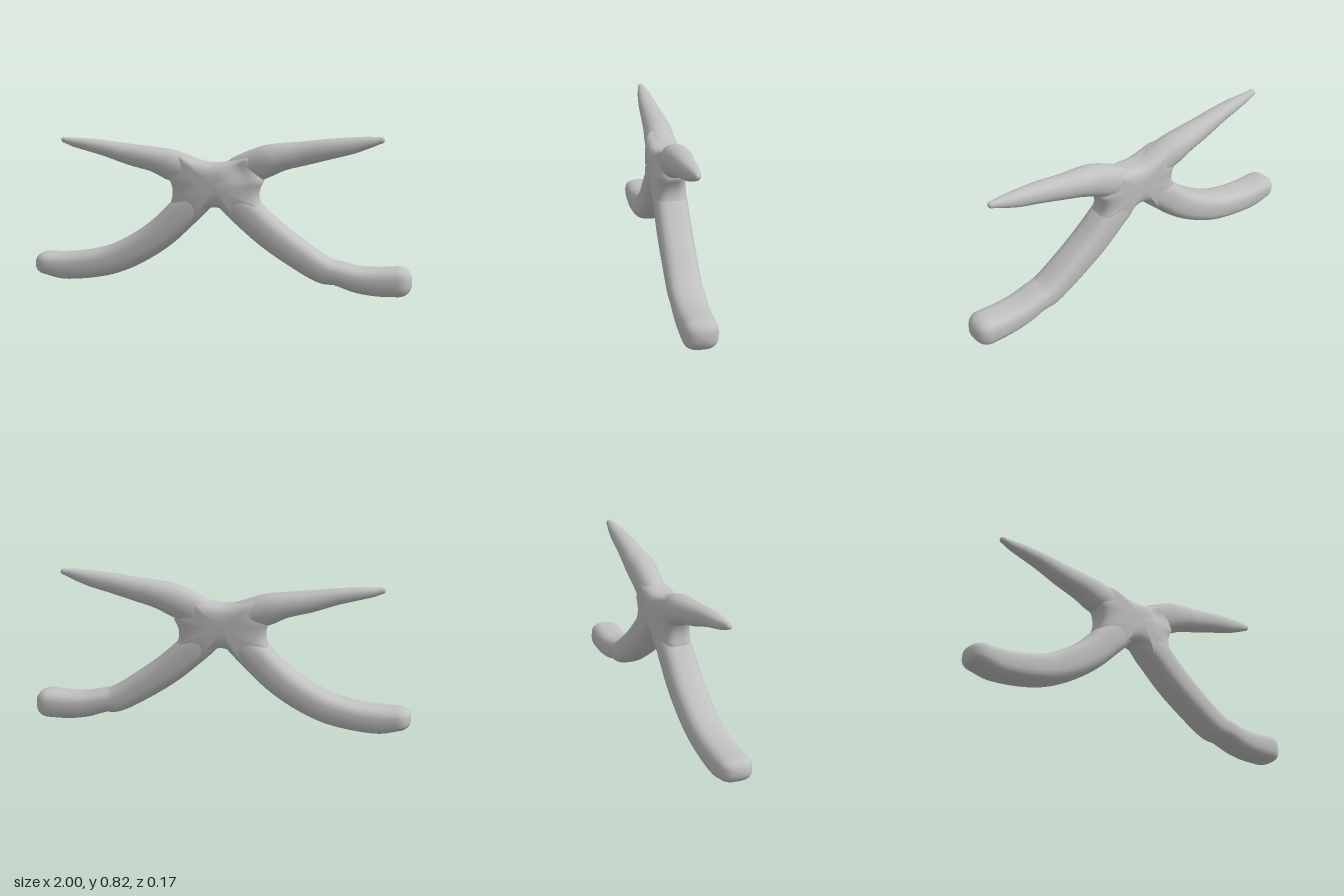
import * as THREE from 'three';

const SIDES = 28;

// Skins a stack of closed rings, each a list of points running anticlockwise around the stacking direction
function skin(rings) {
  const n = rings[0].length, index = [];
  for (let i = 0; i < rings.length - 1; i++) {
    for (let j = 0; j < n; j++) {
      const a = i * n + j, b = i * n + (j + 1) % n;
      index.push(a, b, a + n, b, b + n, a + n);
    }
  }
  const geo = new THREE.BufferGeometry().setFromPoints(rings.flat());
  geo.setIndex(index);
  geo.computeVertexNormals();
  return geo;
}

// Signed power, which squares off a circle into a superellipse
const bend = (v, power) => Math.sign(v) * Math.abs(v) ** (2 / power);

// Sweeps a squarish oval along a path in the xy plane and closes it with a dome.
// Each station: [x, y, half height, half depth, z offset]
function limbGeometry(stations, capLength, power) {
  const path = new THREE.CatmullRomCurve3(stations.map(s => new THREE.Vector3(s[0], s[1], s[4] ?? 0)));
  const size = new THREE.CatmullRomCurve3(stations.map(s => new THREE.Vector3(s[2], s[3], 0)));
  const rings = [];
  const addRing = (p, dir, h, d) => {
    const ring = [];
    for (let j = 0; j < SIDES; j++) {
      const a = (j / SIDES) * Math.PI * 2;
      const u = h * bend(Math.cos(a), power), w = d * bend(Math.sin(a), power);
      ring.push(new THREE.Vector3(p.x - dir.y * u, p.y + dir.x * u, p.z + w));
    }
    rings.push(ring);
  };
  const steps = (stations.length - 1) * 5;
  for (let i = 0; i <= steps; i++) {
    const r = size.getPoint(i / steps);
    addRing(path.getPoint(i / steps), path.getTangent(i / steps).setZ(0).normalize(), r.x, r.y);
  }
  // Rounded tip
  const end = path.getPoint(1), dir = path.getTangent(1).setZ(0).normalize(), r = size.getPoint(1);
  for (let k = 1; k <= 7; k++) {
    const a = (k / 7) * Math.PI / 2;
    const s = Math.max(Math.cos(a), 0) ** 0.8;
    addRing(end.clone().addScaledVector(dir, capLength * Math.sin(a)), dir, r.x * s, r.y * s);
  }
  return skin(rings);
}

// Webbed pillow joining the four limbs, with a hollow on the front beside the left arm
function hubGeometry() {
  const s = new THREE.Shape();
  s.moveTo(-0.04, 0.668);
  s.quadraticCurveTo(-0.1, 0.675, -0.21, 0.712);
  s.lineTo(-0.27, 0.595);
  s.quadraticCurveTo(-0.222, 0.525, -0.26, 0.445);
  s.lineTo(-0.15, 0.335);
  s.quadraticCurveTo(-0.02, 0.54, 0.11, 0.345);
  s.lineTo(0.235, 0.435);
  s.quadraticCurveTo(0.18, 0.505, 0.235, 0.58);
  s.lineTo(0.17, 0.715);
  s.quadraticCurveTo(0.04, 0.668, -0.04, 0.668);
  const outline = s.getSpacedPoints(72).slice(0, -1);
  const cx = -0.015, cy = 0.56, rows = 28, power = 3.4;
  const rings = [];
  for (let i = 0; i <= rows; i++) {
    const a = (i / rows - 0.5) * Math.PI;
    const spread = bend(Math.max(Math.cos(a), 1e-4), power);
    const height = 0.087 * bend(Math.sin(a), power);
    rings.push(outline.map(p => {
      const x = cx + (p.x - cx) * spread, y = cy + (p.y - cy) * spread;
      const hollow = 0.03 * Math.exp(-((x - 0.11) ** 2 + (y - 0.65) ** 2) / 0.004);
      return new THREE.Vector3(x, y, height > 0 ? height * (1 - hollow / 0.087) : height);
    }));
  }
  return skin(rings);
}

export function createModel() {
  const group = new THREE.Group();
  const grey = new THREE.MeshStandardMaterial({ color: 0xc0c0c0 });
  grey.name = 'plain grey';
  const add = (name, geo) => {
    const mesh = new THREE.Mesh(geo, grey);
    mesh.name = name;
    group.add(mesh);
  };

  add('hub', hubGeometry());

  // Thick lower legs with blunt feet
  add('leftLeg', limbGeometry([
    [-0.02, 0.56, 0.07, 0.07], [0.13, 0.43, 0.083, 0.086], [0.26, 0.315, 0.08, 0.087],
    [0.4, 0.215, 0.075, 0.086], [0.55, 0.126, 0.068, 0.086], [0.62, 0.112, 0.06, 0.086],
    [0.72, 0.085, 0.066, 0.086], [0.82, 0.076, 0.072, 0.086], [0.93, 0.08, 0.076, 0.086],
  ], 0.07, 2.8));
  add('rightLeg', limbGeometry([
    [-0.02, 0.56, 0.07, 0.07], [-0.18, 0.415, 0.083, 0.086], [-0.3, 0.3, 0.082, 0.087],
    [-0.42, 0.215, 0.08, 0.087], [-0.56, 0.145, 0.077, 0.086], [-0.7, 0.11, 0.074, 0.086],
    [-0.84, 0.096, 0.071, 0.086], [-0.93, 0.105, 0.06, 0.085],
  ], 0.07, 2.8));

  // Slender upper arms tapering to points
  add('leftArm', limbGeometry([
    [0, 0.57, 0.06, 0.05, -0.02], [0.12, 0.628, 0.085, 0.066, -0.016], [0.25, 0.685, 0.082, 0.075, -0.007],
    [0.33, 0.708, 0.071, 0.072, -0.008], [0.42, 0.724, 0.063, 0.062, -0.006], [0.55, 0.75, 0.054, 0.054],
    [0.68, 0.773, 0.043, 0.042], [0.77, 0.792, 0.029, 0.029], [0.82, 0.802, 0.018, 0.018],
  ], 0.025, 2.2));
  add('rightArm', limbGeometry([
    [0, 0.56, 0.07, 0.06], [-0.13, 0.608, 0.08, 0.078], [-0.25, 0.65, 0.08, 0.077, -0.006],
    [-0.34, 0.677, 0.066, 0.071, -0.008], [-0.47, 0.701, 0.056, 0.059, -0.004], [-0.6, 0.73, 0.042, 0.048],
    [-0.7, 0.748, 0.033, 0.038], [-0.78, 0.76, 0.024, 0.026], [-0.825, 0.77, 0.016, 0.018],
  ], 0.022, 2.2));

  return group;
}
